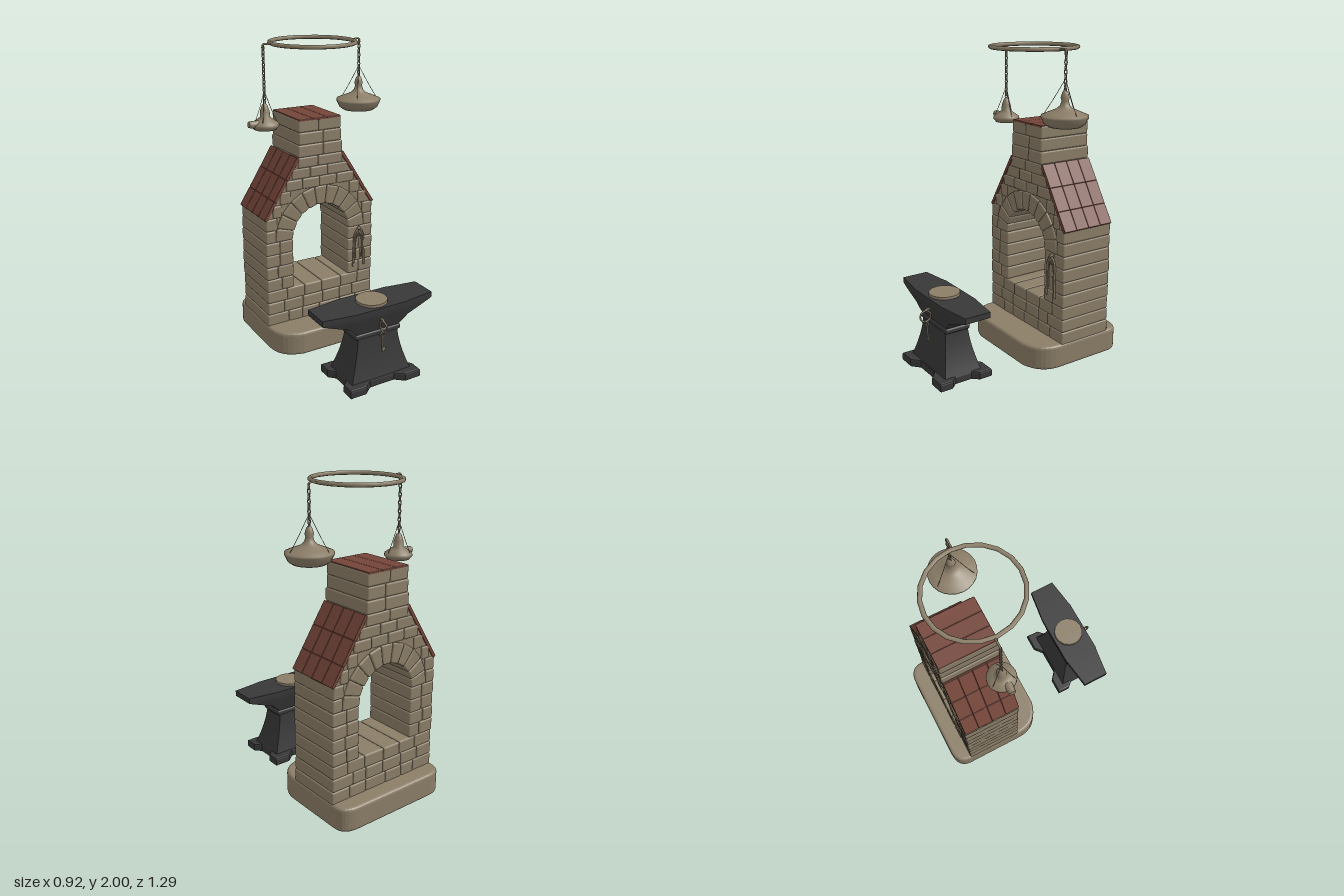
import * as THREE from 'three';
import { RoundedBoxGeometry } from 'three/addons/geometries/RoundedBoxGeometry.js';

export function createModel() {
  const model = new THREE.Group();
  const mat = (name, color) => Object.assign(new THREE.MeshStandardMaterial({ color }), { name });
  const stone = mat('stone', 0x8b7e68);
  const redTile = mat('red tile', 0x744539);
  const iron = mat('dark iron', 0x383838);

  const add = (parent, name, geo, material, x = 0, y = 0, z = 0) => {
    const m = new THREE.Mesh(geo, material);
    m.name = name;
    m.position.set(x, y, z);
    parent.add(m);
    return m;
  };
  const group = (name, x = 0, y = 0, z = 0) => {
    const g = new THREE.Group();
    g.name = name;
    g.position.set(x, y, z);
    model.add(g);
    return g;
  };
  const tube = (pts, r, n = 16) => new THREE.TubeGeometry(
    new THREE.CatmullRomCurve3(pts.map(p => new THREE.Vector3(...p))), n, r, 6);
  const lathe = pts => new THREE.LatheGeometry(pts.map(p => new THREE.Vector2(...p)), 24);
  const { lerp, clamp } = THREE.MathUtils;
  const reshape = (geo, rule) => {
    const p = geo.attributes.position;
    for (let i = 0; i < p.count; i++) p.setXYZ(i, ...rule(p.getX(i), p.getY(i), p.getZ(i)));
    geo.computeVertexNormals();
    return geo;
  };
  let seed = 7;
  const rand = () => (seed = (seed * 16807) % 2147483647) / 2147483647;

  // Rounded base slab
  const slab = new THREE.Shape();
  slab.moveTo(-0.24, -0.03);
  slab.lineTo(0.24, -0.03);
  slab.quadraticCurveTo(0.39, 0.0, 0.39, 0.14);
  slab.lineTo(0.39, 0.54);
  slab.quadraticCurveTo(0.39, 0.62, 0.29, 0.62);
  slab.lineTo(-0.29, 0.62);
  slab.quadraticCurveTo(-0.39, 0.62, -0.39, 0.54);
  slab.lineTo(-0.39, 0.14);
  slab.quadraticCurveTo(-0.39, 0.0, -0.24, -0.03);
  const slabGeo = new THREE.ExtrudeGeometry(slab, {
    depth: 0.12, bevelSize: 0.02, bevelThickness: 0.02, bevelSegments: 3, curveSegments: 8 });
  slabGeo.rotateX(-Math.PI / 2);
  add(model, 'baseSlab', slabGeo, stone, 0, 0.02, 0);

  // Furnace core with an arched opening, set slightly behind the bricks
  const furnace = group('furnace', 0, 0, -0.34);
  const outer = y => y < 0.9 ? 0.405
    : y < 1.28 ? lerp(0.405, 0.165, (y - 0.9) / 0.38) : lerp(0.165, 0.155, (y - 1.28) / 0.24);
  const wall = new THREE.Shape();
  const side = [0.14, 0.9, 1.28, 1.51].map(y => [outer(y) - 0.01, y]);
  side.forEach(([x, y], i) => i ? wall.lineTo(x, y) : wall.moveTo(x, y));
  [...side].reverse().forEach(([x, y]) => wall.lineTo(-x, y));
  const hole = new THREE.Path();
  hole.moveTo(-0.22, 0.39);
  hole.lineTo(-0.22, 0.74);
  hole.absarc(0, 0.74, 0.22, Math.PI, 0, true);
  hole.lineTo(0.22, 0.39);
  wall.holes.push(hole);
  const core = new THREE.ExtrudeGeometry(wall, { depth: 0.364, bevelEnabled: false });
  core.translate(0, 0, -0.182);
  add(furnace, 'mortarCore', core, stone);

  // Brick courses: full-depth stones, split around the opening and the arch ring
  const course = (x0, x1, y0, y1) => {
    const n = Math.max(1, Math.round((x1 - x0) / 0.13));
    const cuts = Array.from({ length: n + 1 }, (_, i) =>
      lerp(x0, x1, i / n) + (i > 0 && i < n ? (rand() - 0.5) * 0.05 : 0));
    for (let i = 0; i < n; i++) {
      const w = cuts[i + 1] - cuts[i];
      add(furnace, 'brick', new RoundedBoxGeometry(w, y1 - y0, 0.374 + rand() * 0.012, 2, 0.011),
        stone, (cuts[i] + cuts[i + 1]) / 2, (y0 + y1) / 2, 0);
    }
  };
  for (const [y0, y1, n] of [[0.15, 0.4, 3], [0.4, 0.74, 4], [0.74, 1.07, 4], [1.07, 1.28, 3], [1.28, 1.52, 3]]) {
    for (let i = 0; i < n; i++) {
      const a = lerp(y0, y1, i / n), b = lerp(y0, y1, (i + 1) / n);
      const out = Math.min(outer(b), outer(a)) - rand() * 0.004;
      const inner = y0 === 0.4 ? 0.207 : y0 === 0.74 ? Math.sqrt(0.33 ** 2 - (a - 0.74) ** 2) : 0;
      if (!inner) course(-out, out, a, b);
      else if (out - inner > 0.03) {
        course(inner, out, a, b);
        course(-out, -inner, a, b);
      }
    }
  }

  // Wedge stones of the arch
  const wedges = 11;
  for (let i = 0; i < wedges; i++) {
    const geo = new RoundedBoxGeometry(0.27 * Math.PI / wedges, 0.125, 0.384 + rand() * 0.01, 2, 0.011);
    reshape(geo, (x, y, z) => [x * (0.27 + y) / 0.27, y + 0.27, z]);
    add(furnace, 'archStone', geo, stone, 0, 0.74, 0).rotation.z = ((i + 0.5) / wedges - 0.5) * Math.PI;
  }

  // Red roof tiles on both slopes and on the chimney top
  const slope = Math.atan2(0.38, 0.24);
  const slopeLen = Math.hypot(0.38, 0.24);
  for (const s of [-1, 1]) {
    for (const [t0, t1] of [[0, 0.3], [0.3, 0.65], [0.65, 1]]) {
      for (let k = 0; k < 4; k++) {
        const t = (t0 + t1) / 2;
        const tile = add(furnace, 'roofTile',
          new RoundedBoxGeometry((t1 - t0) * slopeLen, 0.024, 0.094, 1, 0.004), redTile,
          s * (lerp(0.405, 0.165, t) - 0.004), 0.9 + 0.38 * t - 0.002, (k - 1.5) * 0.0945);
        tile.rotation.z = -s * (slope + (rand() - 0.5) * 0.02);
      }
    }
  }
  for (let k = 0; k < 3; k++)
    add(furnace, 'chimneyTile', new RoundedBoxGeometry(0.1, 0.016, 0.374, 1, 0.004), redTile,
      (k - 1) * 0.1, 1.516, 0);

  // Tongs hanging on the front wall
  const tongs = group('tongs', 0.29, 0, -0.142);
  add(tongs, 'tongsOuter', tube([[-0.042, 0.45, 0], [-0.038, 0.6, 0], [-0.033, 0.68, 0],
    [0, 0.722, 0], [0.033, 0.68, 0], [0.038, 0.6, 0], [0.042, 0.45, 0]], 0.007, 32), stone);
  add(tongs, 'tongsInner', tube([[-0.025, 0.51, 0], [-0.022, 0.65, 0], [0, 0.69, 0],
    [0.022, 0.65, 0], [0.025, 0.51, 0]], 0.005, 24), stone);
  add(tongs, 'tongsNail', new THREE.SphereGeometry(0.012, 8, 6), stone, 0, 0.725, 0);

  // Anvil: splayed foot, flared body, collar and double-horned head
  const anvil = group('anvil', 0, 0, 0.465);
  const quarter = [[0, 0.125], [0.09, 0.125], [0.145, 0.172], [0.243, 0.172], [0.243, 0.1], [0.205, 0.06]];
  const ring = [...quarter, ...[...quarter].reverse().map(([x, z]) => [x, -z]),
    ...quarter.slice(1).map(([x, z]) => [-x, -z]), ...quarter.slice(1).reverse().map(([x, z]) => [-x, z])];
  const foot = new THREE.ExtrudeGeometry(new THREE.Shape(ring.map(p => new THREE.Vector2(...p))),
    { depth: 0.033, bevelSize: 0.01, bevelThickness: 0.011, bevelSegments: 2 });
  foot.rotateX(-Math.PI / 2);
  add(anvil, 'anvilFoot', foot, iron, 0, 0.011, 0);
  add(anvil, 'anvilBody', reshape(new THREE.BoxGeometry(1, 1, 1, 1, 8, 1), (x, y, z) => {
    const t = 0.5 - y;
    return [x * 2 * lerp(0.14, 0.215, t ** 1.6), lerp(0.345, 0.045, t), z * 2 * lerp(0.078, 0.13, t ** 1.6)];
  }), iron);
  add(anvil, 'anvilCollar', new RoundedBoxGeometry(0.325, 0.035, 0.172, 2, 0.012), iron, 0, 0.335, 0);
  add(anvil, 'anvilHead', reshape(new THREE.BoxGeometry(0.78, 1, 1, 26, 5, 1), (x, y, z) => {
    const a = Math.abs(x);
    const low = a < 0.15 ? 0.35 : a < 0.21 ? lerp(0.35, 0.41, (a - 0.15) / 0.06) : lerp(0.41, 0.475, (a - 0.21) / 0.18);
    const h = lerp(low, 0.512, y + 0.5);
    const half = a < 0.2 ? 0.117 : lerp(0.112, 0.086, (a - 0.2) / 0.19);
    return [x, h, z * 2 * half * lerp(0.66, 1, clamp((h - 0.35) / 0.125, 0, 1))];
  }), iron);
  add(anvil, 'anvilDisc', new THREE.CylinderGeometry(0.098, 0.1, 0.018, 16), stone, 0, 0.519, 0);

  // Key ring and key on the anvil front
  const keys = group('keys', 0, 0, 0.59);
  add(keys, 'keyRing', new THREE.TorusGeometry(0.036, 0.006, 6, 18), stone, 0, 0.395, 0.012).rotation.y = Math.PI / 2;
  add(keys, 'keyHook', tube([[0, 0.43, -0.04], [0, 0.44, 0], [0, 0.43, 0.015]], 0.007, 8), stone);
  add(keys, 'keyBow', new THREE.TorusGeometry(0.015, 0.005, 6, 12), stone, 0, 0.338, 0);
  add(keys, 'keyShaft', new THREE.CylinderGeometry(0.006, 0.006, 0.1, 8), stone, 0, 0.272, 0);
  add(keys, 'keyBit', new THREE.BoxGeometry(0.022, 0.025, 0.008), stone, 0.01, 0.24, 0);

  // Overhead ring
  const hoop = add(model, 'overheadRing', new THREE.TorusGeometry(0.266, 0.013, 8, 20), stone, -0.016, 1.987, -0.218);
  hoop.rotation.x = Math.PI / 2;
  hoop.scale.y = 1.03;

  // Hanging lamps: chain, hook, wires and turned body
  const hanging = (name, x, z, chainLow, profile, rimR, rimY, hookX) => {
    const g = group(name, x, 0, z);
    const n = Math.round((1.97 - chainLow) / 0.026);
    for (let i = 0; i <= n; i++) {
      const link = add(g, 'chainLink', new THREE.TorusGeometry(0.009, 0.0035, 5, 8), stone,
        0, lerp(chainLow, 1.97, i / n), 0);
      link.scale.y = 1.8;
      link.rotation.y = (i % 2) * Math.PI / 2 + 0.4;
    }
    add(g, 'chainHook', tube([[0, 1.96, 0], [0, 1.988, 0], [hookX, 1.986, 0]], 0.006, 8), stone);
    for (let i = 0; i < 3; i++) {
      const a = i * Math.PI * 2 / 3 + 0.1;
      add(g, 'wire', tube([[Math.cos(a) * rimR, rimY, Math.sin(a) * rimR],
        [Math.cos(a) * rimR * 0.6, lerp(rimY, chainLow, 0.55), Math.sin(a) * rimR * 0.6],
        [0, chainLow + 0.07, 0]], 0.0018, 8), stone);
    }
    add(g, 'lampBody', lathe(profile), stone);
    return g;
  };
  hanging('panLamp', 0.315, -0.205, 1.75, [[0, 1.535], [0.1, 1.538], [0.125, 1.555], [0.144, 1.595],
    [0.144, 1.607], [0.1, 1.625], [0.05, 1.645], [0.03, 1.665], [0.022, 1.69], [0.027, 1.71], [0.016, 1.745], [0, 1.755]],
  0.135, 1.6, -0.065);
  const oil = hanging('oilLamp', -0.345, -0.235, 1.64, [[0, 1.472], [0.07, 1.474], [0.088, 1.495], [0.085, 1.512],
    [0.05, 1.535], [0.032, 1.55], [0.03, 1.585], [0.016, 1.625], [0, 1.64]], 0.08, 1.51, 0.064);
  add(oil, 'lampSpout', new THREE.CylinderGeometry(0.02, 0.028, 0.06, 10), stone, -0.085, 1.512, 0.01).rotation.z = 1.45;

  return model;
}
